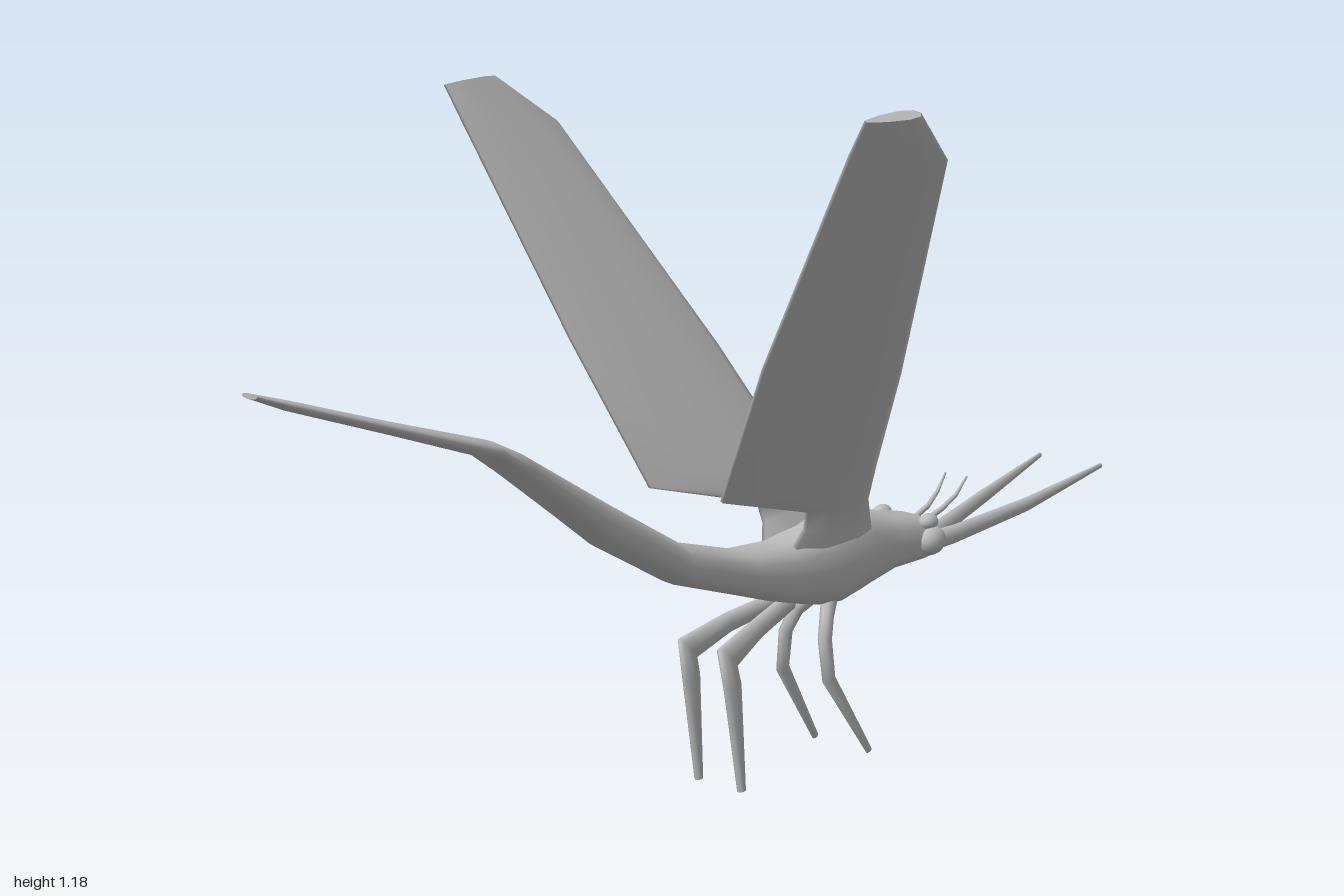
import * as THREE from 'three';

const V = (p) => new THREE.Vector3(...p);

// Skin a closed surface over rings of equal point count; outward winding is set by signed volume
function loft(rings) {
  const n = rings[0].length, pos = [], idx = [];
  rings.forEach((r) => r.forEach((p) => pos.push(p.x, p.y, p.z)));
  for (let i = 0; i < rings.length - 1; i++) {
    for (let j = 0; j < n; j++) {
      const a = i * n + j, b = i * n + (j + 1) % n;
      idx.push(a, b, a + n, b, b + n, a + n);
    }
  }
  // end caps with their own vertices, so the rims stay crisp
  [[rings[0], true], [rings[rings.length - 1], false]].forEach(([r, first]) => {
    const c = r.reduce((s, p) => s.add(p), new THREE.Vector3()).divideScalar(n);
    const base = pos.length / 3;
    [c, ...r].forEach((p) => pos.push(p.x, p.y, p.z));
    for (let j = 0; j < n; j++) {
      const a = base + 1 + j, b = base + 1 + (j + 1) % n;
      if (first) idx.push(base, b, a); else idx.push(base, a, b);
    }
  });
  let vol = 0;
  const at = (i) => new THREE.Vector3().fromArray(pos, i * 3);
  for (let i = 0; i < idx.length; i += 3) vol += at(idx[i]).dot(at(idx[i + 1]).cross(at(idx[i + 2])));
  if (vol < 0) for (let i = 0; i < idx.length; i += 3) [idx[i], idx[i + 1]] = [idx[i + 1], idx[i]];
  const g = new THREE.BufferGeometry();
  g.setAttribute('position', new THREE.Float32BufferAttribute(pos, 3));
  g.setIndex(idx);
  g.computeVertexNormals();
  return g;
}

// Tapered limb through points [x, y, z, radius across, radius in profile]; x is mirrored by s
function limb(points, s, sides = 8) {
  const c = points.map((p) => new THREE.Vector3(p[0] * s, p[1], p[2]));
  return loft(c.map((p, i) => {
    const before = c[Math.max(i - 1, 0)], after = c[Math.min(i + 1, c.length - 1)];
    const t = after.clone().sub(before).normalize();
    const u = new THREE.Vector3(1, 0, 0).addScaledVector(t, -t.x).normalize();
    const v = new THREE.Vector3().crossVectors(t, u);
    return Array.from({ length: sides }, (_, k) => {
      const a = k / sides * Math.PI * 2;
      return p.clone().addScaledVector(u, Math.cos(a) * points[i][3]).addScaledVector(v, Math.sin(a) * points[i][4]);
    });
  }));
}

// Wing from stations of leading edge, trailing edge and half thickness
function wing(stations, s) {
  const normal = V([0.875, -0.485, 0]);
  const profile = [[0, 0], [0.07, 0.7], [0.3, 1], [0.7, 0.75], [1, 0.2], [1, -0.2], [0.7, -0.75], [0.3, -1], [0.07, -0.7]];
  return loft(stations.map(([lead, trail, h]) => profile.map(([t, w]) => {
    const p = V(lead).lerp(V(trail), t).addScaledVector(normal, w * h);
    p.x *= s;
    return p;
  })));
}

export function createModel() {
  const model = new THREE.Group();
  const grey = new THREE.MeshStandardMaterial({ color: 0xbcbcbc });
  grey.name = 'plain grey';
  const add = (name, geometry) => {
    const m = new THREE.Mesh(geometry, grey);
    m.name = name;
    model.add(m);
    return m;
  };

  // Body from tail tip to snout: z, top, bottom, half width
  const sections = [
    [1.0, 0.834, 0.826, 0.016], [0.93, 0.813, 0.797, 0.032], [0.75, 0.755, 0.735, 0.042],
    [0.56, 0.697, 0.668, 0.046], [0.5, 0.668, 0.625, 0.047], [0.31, 0.555, 0.48, 0.048],
    [0.14, 0.457, 0.385, 0.05], [-0.02, 0.413, 0.333, 0.052], [-0.12, 0.408, 0.3, 0.055],
    [-0.2, 0.42, 0.28, 0.06], [-0.26, 0.435, 0.274, 0.064], [-0.32, 0.435, 0.285, 0.063],
    [-0.4, 0.408, 0.304, 0.06], [-0.47, 0.395, 0.305, 0.062], [-0.52, 0.378, 0.304, 0.046],
    [-0.555, 0.355, 0.308, 0.026], [-0.57, 0.342, 0.315, 0.014],
  ];
  const round = (v) => Math.sign(v) * Math.abs(v) ** 0.8;
  add('body', loft(sections.map(([z, top, bottom, w]) => Array.from({ length: 16 }, (_, k) => {
    const a = k / 16 * Math.PI * 2;
    return new THREE.Vector3(round(Math.cos(a)) * w, (top + bottom) / 2 + round(Math.sin(a)) * (top - bottom) / 2, z);
  }))));

  for (const [side, s] of [['left', 1], ['right', -1]]) {
    // Raised wing
    add(side + 'Wing', wing([
      [[0.02, 0.36, -0.36], [0.02, 0.36, -0.11], 0.03],
      [[0.05, 0.43, -0.31], [0.045, 0.43, -0.14], 0.02],
      [[0.063, 0.465, -0.29], [0.055, 0.465, -0.135], 0.014],
      [[0.1, 0.53, -0.265], [0.078, 0.53, 0.11], 0.014],
      [[0.2, 0.71, -0.2], [0.208, 0.77, 0.16], 0.015],
      [[0.415, 1.095, -0.03], [0.41, 1.12, 0.203], 0.015],
      [[0.45, 1.178, 0.085], [0.443, 1.174, 0.208], 0.012],
    ], s));

    // Legs
    add(side + 'LegByTail', limb([
      [0.012, 0.3, -0.14, 0.014, 0.016], [0.032, 0.278, -0.03, 0.013, 0.019],
      [0.044, 0.25, 0.057, 0.012, 0.031], [0.046, 0.2, 0.046, 0.011, 0.02],
      [0.048, 0.012, 0.025, 0.007, 0.008],
    ], s));
    add(side + 'LegByHead', limb([
      [0.01, 0.3, -0.255, 0.014, 0.02], [0.034, 0.262, -0.215, 0.012, 0.014],
      [0.044, 0.225, -0.198, 0.011, 0.014], [0.052, 0.155, -0.2, 0.01, 0.014],
      [0.061, 0.003, -0.302, 0.005, 0.007],
    ], s));

    // Long feelers and short antennae
    add(side + 'Feeler', limb([
      [0.012, 0.328, -0.5, 0.012, 0.02], [0.02, 0.332, -0.6, 0.012, 0.018],
      [0.049, 0.358, -0.78, 0.01, 0.014], [0.07, 0.399, -0.995, 0.004, 0.005],
    ], s));
    add(side + 'Antenna', limb([
      [0.012, 0.365, -0.5, 0.005, 0.006], [0.016, 0.385, -0.565, 0.005, 0.005],
      [0.021, 0.405, -0.6, 0.004, 0.004], [0.024, 0.435, -0.628, 0.002, 0.002],
    ], s, 6));

    // Eye with a small bump above it
    const eye = add(side + 'Eye', new THREE.SphereGeometry(1, 14, 10));
    eye.scale.set(0.023, 0.026, 0.032);
    eye.position.set(0.059 * s, 0.35, -0.477);
    const bump = add(side + 'Brow', new THREE.SphereGeometry(1, 10, 8));
    bump.scale.set(0.016, 0.015, 0.022);
    bump.position.set(0.052 * s, 0.383, -0.477);
  }
  return model;
}
